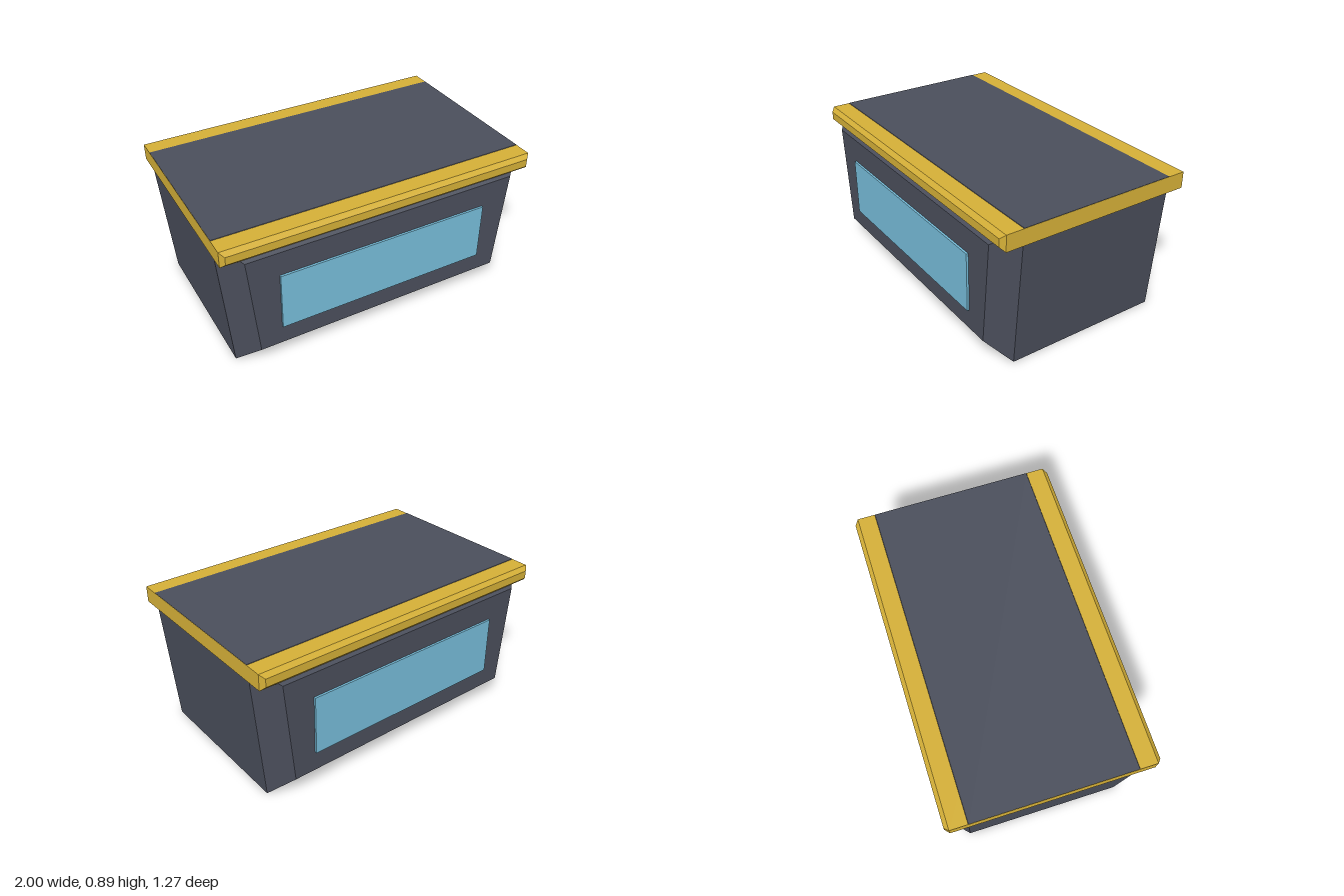
import * as THREE from 'three';

// Extruded along z with single chamfers at both ends, centred on z = 0
function chamferedBlock(points, innerDepth, chamfer) {
  const shape = new THREE.Shape(points.map(([x, y]) => new THREE.Vector2(x, y)));
  const geometry = new THREE.ExtrudeGeometry(shape, {
    depth: innerDepth,
    bevelEnabled: true,
    bevelThickness: chamfer,
    bevelSize: chamfer,
    bevelOffset: -chamfer,
    bevelSegments: 1,
  });
  return geometry.translate(0, 0, -innerDepth / 2);
}

export function createModel() {
  const model = new THREE.Group();
  model.name = 'bin';

  const slate = new THREE.MeshStandardMaterial({ name: 'slate', color: 0x4a4e5b });
  const gold = new THREE.MeshStandardMaterial({ name: 'gold', color: 0xd4af37 });
  const blue = new THREE.MeshStandardMaterial({ name: 'paleBlue', color: 0x76bcd9 });

  const add = (name, geometry, material) => {
    const mesh = new THREE.Mesh(geometry, material);
    mesh.name = name;
    model.add(mesh);
    return mesh;
  };

  // Tapered body, its top showing just above the rim
  const bodyProfile = [[-0.925, 0], [0.925, 0], [0.999, 0.892], [-0.999, 0.892]];
  add('body', chamferedBlock(bodyProfile, 0.99, 0.125), slate);

  // Rim slab around the top
  const rimProfile = [[-1, 0.79], [1, 0.79], [1, 0.89], [-1, 0.89]];
  add('rim', chamferedBlock(rimProfile, 1.21, 0.025), gold);

  // Front and back panels
  for (const [name, side] of [['frontPanel', 1], ['backPanel', -1]]) {
    const panel = add(name, new THREE.BoxGeometry(1.35, 0.37, 0.03), blue);
    panel.position.set(0, 0.435, side * 0.618);
  }

  return model;
}
